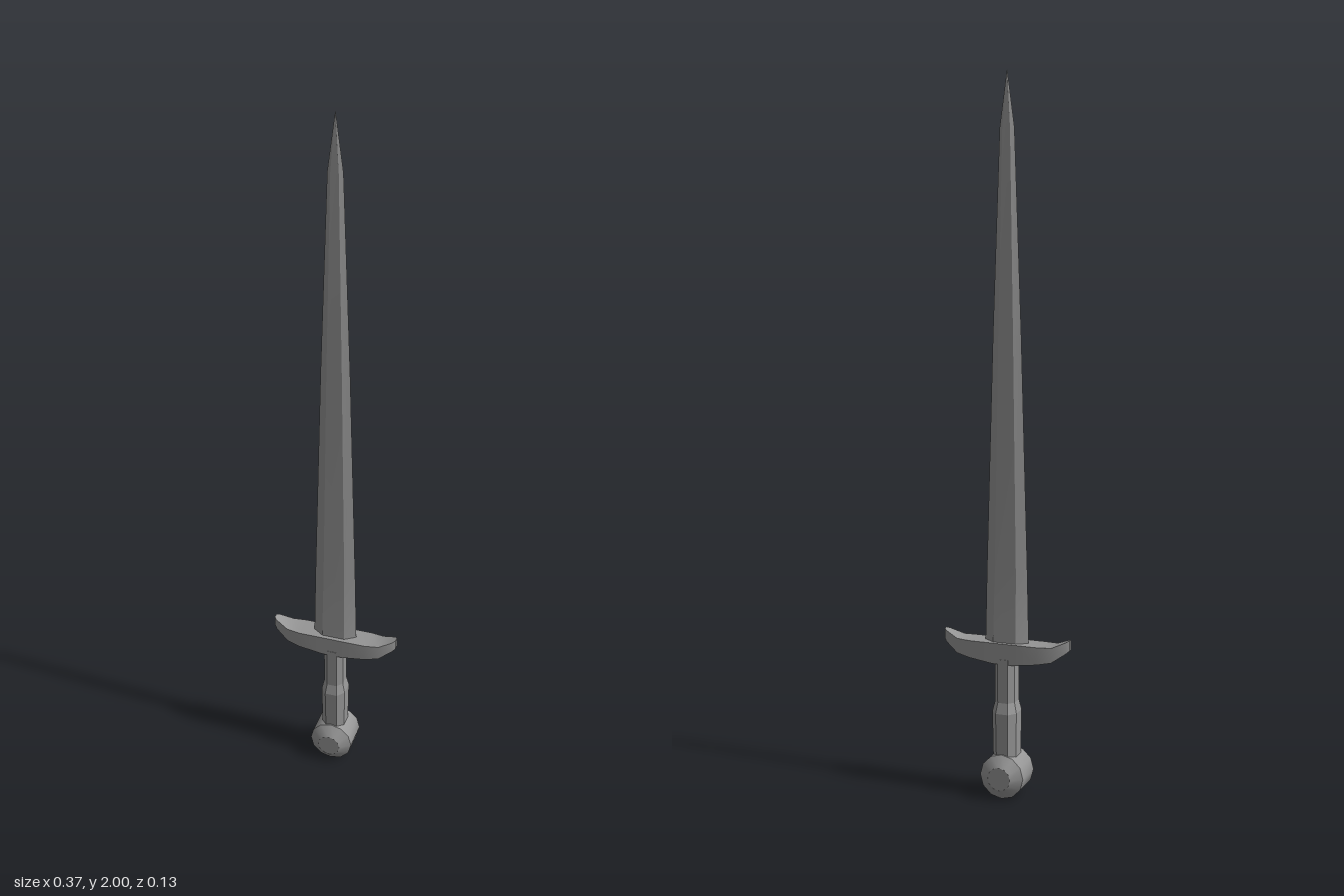
import * as THREE from 'three';
import { toCreasedNormals } from 'three/addons/utils/BufferGeometryUtils.js';

const material = new THREE.MeshStandardMaterial({ color: 0x959595 });

// Edges sharper than the crease angle stay hard, the rest are smoothed.
function createPart(name, geometry, crease) {
  const mesh = new THREE.Mesh(toCreasedNormals(geometry, crease), material);
  mesh.name = name;
  return mesh;
}

// Skins a row of equal-sized rings (counter-clockwise seen from the far end) and caps both ends.
function loft(rings) {
  const n = rings[0].length;
  const index = [];
  for (let k = 0; k < rings.length - 1; k++) {
    for (let i = 0; i < n; i++) {
      const j = (i + 1) % n;
      const a = k * n + i, b = k * n + j;
      index.push(a, b, b + n, a, b + n, a + n);
    }
  }
  const last = (rings.length - 1) * n;
  for (let i = 1; i < n - 1; i++) {
    index.push(0, i + 1, i, last, last + i, last + i + 1);
  }
  const geometry = new THREE.BufferGeometry();
  geometry.setAttribute('position', new THREE.Float32BufferAttribute(rings.flat(2), 3));
  geometry.setIndex(index);
  return geometry;
}

// Blade: flattened hexagon, [height, half width, half thickness]
function createBlade() {
  const sections = [
    [0.42, 0.065, 0.023], [0.46, 0.064, 0.021], [0.64, 0.06, 0.014],
    [1.3, 0.041, 0.011], [1.85, 0.021, 0.007], [2, 0.0005, 0.0005],
  ];
  return createPart('blade', loft(sections.map(([y, w, t]) => [
    [w, y, 0], [w * 0.52, y, -t], [-w * 0.52, y, -t],
    [-w, y, 0], [-w * 0.52, y, t], [w * 0.52, y, t],
  ])), 0.2);
}

// Crossguard: rectangular sections along x, [x, bottom, top, half depth]
function createGuard() {
  const half = [
    [0.03, 0.386, 0.445, 0.034], [0.1, 0.396, 0.445, 0.034],
    [0.14, 0.404, 0.446, 0.028], [0.178, 0.43, 0.462, 0.015],
    [0.186, 0.437, 0.466, 0.007],
  ];
  const mirrored = half.map(([x, ...rest]) => [-x, ...rest]).reverse();
  return createPart('crossguard', loft([...mirrored, ...half].map(([x, lo, hi, d]) => [
    [x, hi, d], [x, lo, d], [x, lo, -d], [x, hi, -d],
  ])), 0.56);
}

// Grip: chamfered octagon that swells below the middle, [height, half width, half depth]
function createGrip() {
  const sections = [
    [0.08, 0.034, 0.039], [0.12, 0.034, 0.04], [0.245, 0.036, 0.043],
    [0.275, 0.029, 0.035], [0.4, 0.029, 0.035],
  ];
  return createPart('grip', loft(sections.map(([y, w, d]) => {
    const a = w * 0.5, b = d * 0.5;
    return [
      [w, y, b], [w, y, -b], [a, y, -d], [-a, y, -d],
      [-w, y, -b], [-w, y, b], [-a, y, d], [a, y, d],
    ];
  })), 0.2);
}

// Pommel: bevelled disc facing front and back, smooth around its rim
function createPommel() {
  const profile = [[0, -0.066], [0.033, -0.066], [0.064, -0.044], [0.064, 0.044], [0.033, 0.066], [0, 0.066]];
  const geometry = new THREE.LatheGeometry(profile.map(([r, z]) => new THREE.Vector2(r, z)), 12);
  geometry.rotateX(Math.PI / 2);
  geometry.translate(0, 0.064, 0);
  return createPart('pommel', geometry, 0.56);
}

export function createModel() {
  const sword = new THREE.Group();
  sword.name = 'sword';
  sword.add(createBlade(), createGuard(), createGrip(), createPommel());
  return sword;
}
